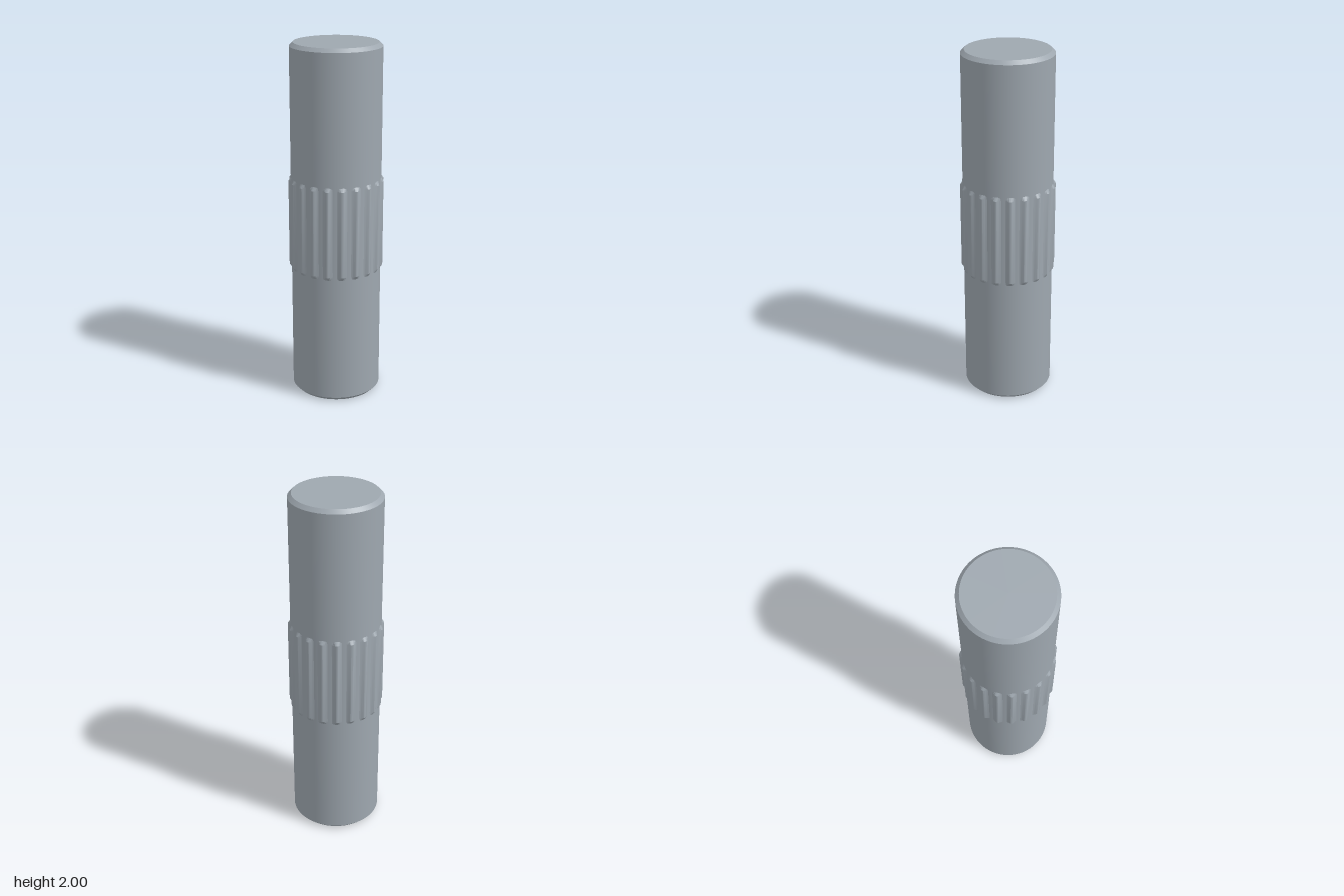
import * as THREE from 'three';
import { toCreasedNormals } from 'three/addons/utils/BufferGeometryUtils.js';

const BODY_R = 0.25, CHAMFER = 0.02, HEIGHT = 2;
const TEETH = 20, STEPS = 14, TIP_R = 0.264, ROOT_R = 0.2485;

// Plain round pin with a bevel at each end
function pinGeometry() {
  const profile = [
    [0, 0], [BODY_R - CHAMFER, 0], [BODY_R, CHAMFER],
    [BODY_R, HEIGHT - CHAMFER], [BODY_R - CHAMFER, HEIGHT], [0, HEIGHT],
  ].map(([r, y]) => new THREE.Vector2(r, y));
  return toCreasedNormals(new THREE.LatheGeometry(profile, 96), 0.5);
}

// Rounded ridges around the pin, tapering into it at both ends
function ridgeGeometry() {
  const rows = [[0.735, 0], [0.757, 1], [1.243, 1], [1.265, 0]]; // height, ridge strength
  const count = TEETH * STEPS;
  const positions = [], indices = [];
  for (const [y, strength] of rows) {
    for (let i = 0; i < count; i++) {
      const a = (i / count) * Math.PI * 2;
      const bump = Math.pow((1 + Math.cos(a * TEETH)) / 2, 1.5);
      const r = ROOT_R + (TIP_R - ROOT_R) * bump * strength;
      positions.push(Math.sin(a) * r, y, Math.cos(a) * r);
    }
  }
  for (let j = 0; j < rows.length - 1; j++) {
    for (let i = 0; i < count; i++) {
      const a = j * count + i, b = j * count + (i + 1) % count;
      indices.push(a, b, b + count, a, b + count, a + count);
    }
  }
  const geometry = new THREE.BufferGeometry();
  geometry.setAttribute('position', new THREE.Float32BufferAttribute(positions, 3));
  geometry.setIndex(indices);
  return toCreasedNormals(geometry, 0.45);
}

export function createModel() {
  const steel = new THREE.MeshStandardMaterial({ color: 0x9ea7af });
  steel.name = 'steel';

  const group = new THREE.Group();
  group.name = 'groovedPin';
  const parts = { pinBody: pinGeometry(), ridgedBand: ridgeGeometry() };
  for (const [name, geometry] of Object.entries(parts)) {
    const mesh = new THREE.Mesh(geometry, steel);
    mesh.name = name;
    group.add(mesh);
  }
  return group;
}
